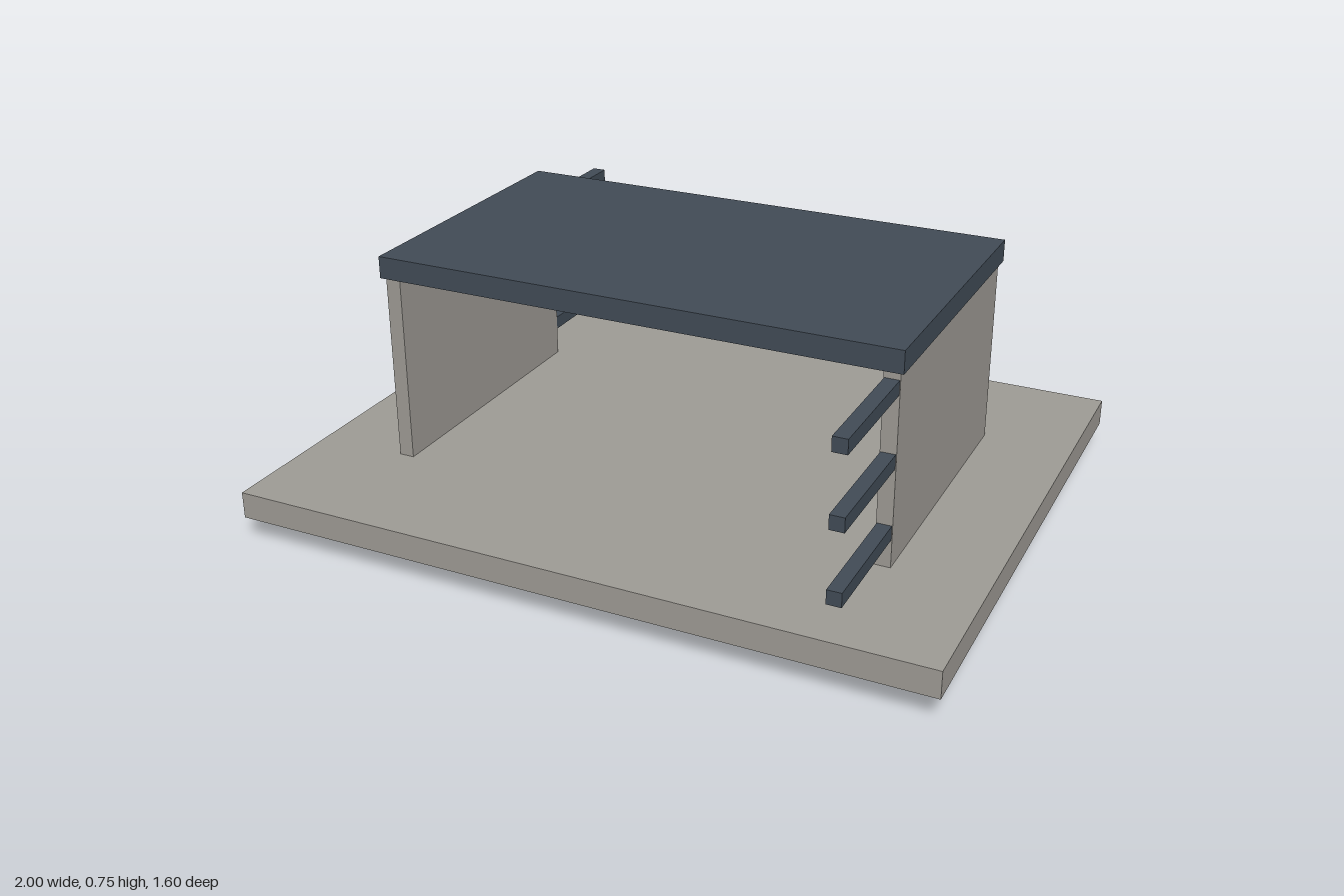
import * as THREE from 'three';

export function createModel() {
  const model = new THREE.Group();
  model.name = 'shelter';

  const concrete = new THREE.MeshStandardMaterial({ color: 0x9e9b95 });
  concrete.name = 'concrete grey';
  const slate = new THREE.MeshStandardMaterial({ color: 0x414b56 });
  slate.name = 'slate blue';

  // Box given by its extents on each axis
  const addBox = (name, material, [x0, x1], [y0, y1], [z0, z1]) => {
    const mesh = new THREE.Mesh(new THREE.BoxGeometry(x1 - x0, y1 - y0, z1 - z0), material);
    mesh.position.set((x0 + x1) / 2, (y0 + y1) / 2, (z0 + z1) / 2);
    mesh.name = name;
    return mesh;
  };

  // Floor slab and roof
  model.add(addBox('floorSlab', concrete, [-1, 1], [0.073, 0.15], [-0.8, 0.8]));
  model.add(addBox('roof', slate, [-0.752, 0.752], [0.692, 0.755], [-0.43, 0.43]));

  // Each half is the other turned 180 degrees about the vertical axis
  ['left', 'right'].forEach((side, i) => {
    const half = new THREE.Group();
    half.name = side + 'Half';
    half.rotation.y = i * Math.PI;

    // Runner under the slab and side wall
    half.add(addBox('runner', concrete, [-0.678, 0.678], [0, 0.073], [0.335, 0.385]));
    half.add(addBox('sideWall', concrete, [0.697, 0.741], [0.15, 0.692], [-0.418, 0.418]));

    // Three rails projecting from the wall's end
    for (const y of [0.25, 0.45, 0.65]) {
      half.add(addBox('rail', slate, [0.699, 0.739], [y - 0.02, y + 0.02], [0.418, 0.768]));
    }
    model.add(half);
  });

  return model;
}
